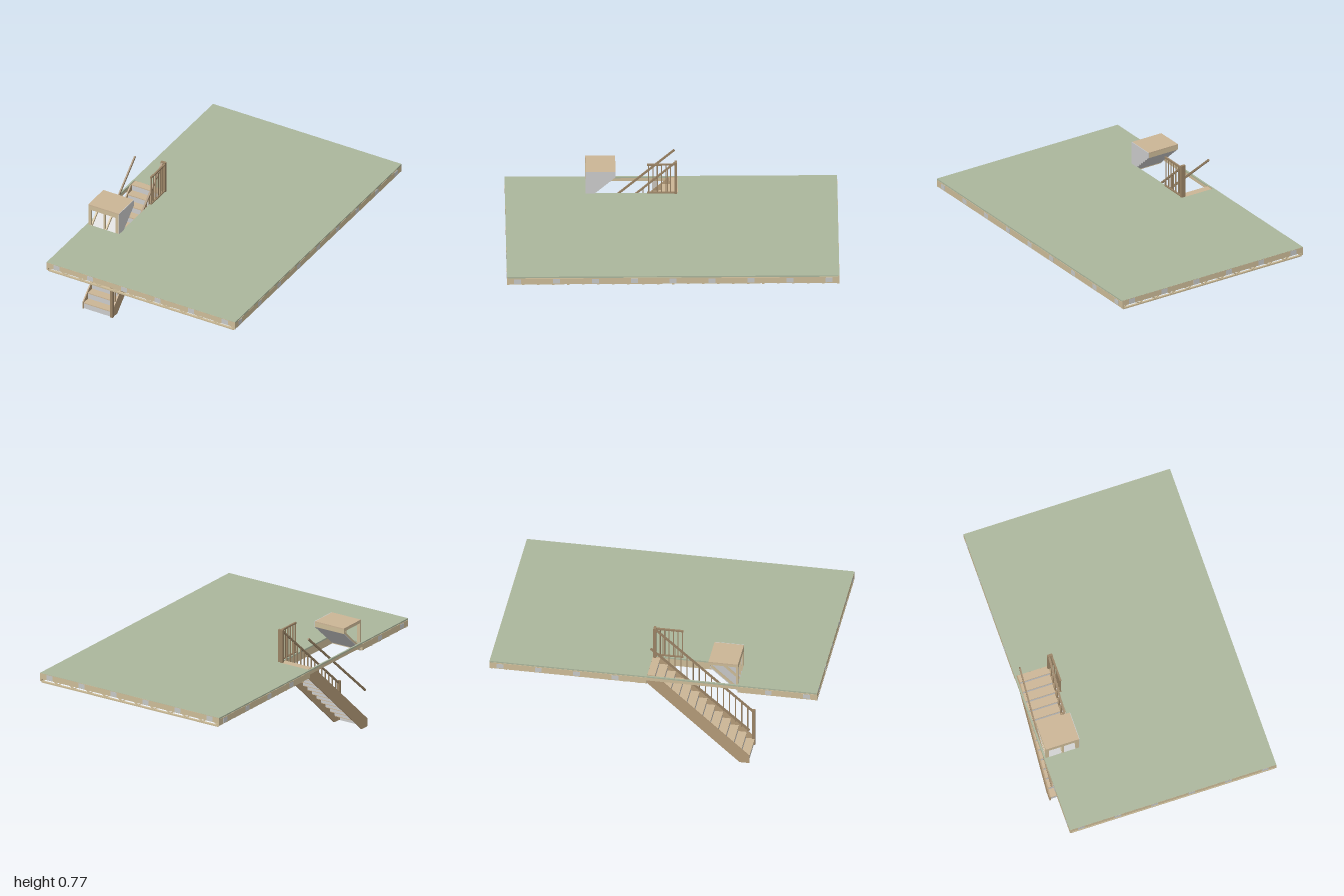
import * as THREE from 'three';
import { mergeGeometries } from 'three/addons/utils/BufferGeometryUtils.js';

const mat = (name, color) => Object.assign(new THREE.MeshStandardMaterial({ color }), { name });

// box given by its limits
function box(x0, x1, y0, y1, z0, z1) {
  return new THREE.BoxGeometry(x1 - x0, y1 - y0, z1 - z0)
    .translate((x0 + x1) / 2, (y0 + y1) / 2, (z0 + z1) / 2);
}

// bar sloping in the z-y plane
function slopeBar(x, [z0, y0], [z1, y1], width, thick) {
  const len = Math.hypot(z1 - z0, y1 - y0);
  return new THREE.BoxGeometry(width, thick, len)
    .rotateX(-Math.atan2(y1 - y0, z1 - z0))
    .translate(x, (y0 + y1) / 2, (z0 + z1) / 2);
}

// bar sloping in the x-y plane
function webBar(z, x0, y0, x1, y1) {
  return new THREE.BoxGeometry(Math.hypot(x1 - x0, y1 - y0), 0.006, 0.008)
    .rotateZ(Math.atan2(y1 - y0, x1 - x0))
    .translate((x0 + x1) / 2, (y0 + y1) / 2, z);
}

// outline of (z, y) points, extruded from x0 to x1
function prism(points, x0, x1) {
  const shape = new THREE.Shape(points.map(([z, y]) => new THREE.Vector2(z, y)));
  return new THREE.ExtrudeGeometry(shape, { depth: x1 - x0, bevelEnabled: false })
    .rotateY(-Math.PI / 2).translate(x1, 0, 0);
}

export function createModel() {
  const green = mat('deck green', 0xabb69c);
  const timber = mat('pale timber', 0xcdbc98);
  const tread = mat('tread tan', 0xcbb595);
  const wood = mat('stair wood', 0xb39a78);
  const rail = mat('rail brown', 0x9a8365);
  const grey = mat('board grey', 0xcbcbcb);
  const steel = mat('plate grey', 0xc6c8c6);

  const root = new THREE.Group();
  const add = (name, material, geos) => {
    const mesh = new THREE.Mesh(geos.length > 1 ? mergeGeometries(geos) : geos[0], material);
    mesh.name = name;
    root.add(mesh);
  };

  const X = 0.655, TOP = 0.566;
  const hole = { x0: -0.645, x1: -0.435, z0: -0.04, z1: 0.515 };

  // floor sheathing around the stair opening
  add('floorSheathing', green, [
    box(-X, X, 0.557, TOP, -1, hole.z0),
    box(-X, X, 0.557, TOP, hole.z1, 1),
    box(hole.x1, X, 0.557, TOP, hole.z0, hole.z1),
    box(-X, hole.x0, 0.557, TOP, hole.z0, hole.z1),
  ]);

  // open-web floor trusses running across
  const chords = [], webs = [];
  const count = 23;
  for (let i = 0; i < count; i++) {
    const z = -0.992 + (1.984 * i) / (count - 1);
    const start = z > hole.z0 - 0.01 && z < hole.z1 + 0.01 ? hole.x1 + 0.005 : -0.645;
    chords.push(box(start, 0.645, 0.547, 0.557, z - 0.007, z + 0.007));
    chords.push(box(start, 0.645, 0.506, 0.515, z - 0.007, z + 0.007));
    const n = Math.round((0.645 - start) / 0.0586), step = (0.645 - start) / n;
    for (let k = 0; k < n; k++) {
      const up = k % 2 === 0;
      webs.push(webBar(z, start + k * step, up ? 0.514 : 0.549, start + (k + 1) * step, up ? 0.549 : 0.514));
    }
  }
  add('trussChords', timber, chords);
  add('trussWebs', timber, webs);

  // rim boards and opening trimmers
  const rims = [];
  for (const s of [-1, 1]) {
    const e = s * 0.9965;
    rims.push(box(-X, X, 0.53, 0.5655, e - 0.004, e + 0.004));
    for (const t of [-1, 1]) {
      const c = t * 0.649;
      rims.push(box(c - 0.006, c + 0.006, 0.513, 0.557, e - 0.0035, e + 0.0035));
    }
  }
  rims.push(box(0.645, X, 0.515, 0.555, -0.995, 0.995));
  rims.push(box(-X, -0.645, 0.515, 0.555, -0.995, hole.z0));
  rims.push(box(-X, -0.645, 0.515, 0.555, hole.z1, 0.995));
  rims.push(box(-X, -0.645, 0.537, 0.557, hole.z0, hole.z1));
  rims.push(box(hole.x1, hole.x1 + 0.01, 0.51, 0.557, hole.z0, hole.z1));
  rims.push(box(hole.x0, hole.x1, 0.51, 0.557, hole.z0 - 0.01, hole.z0));
  rims.push(box(hole.x0, hole.x1, 0.51, 0.557, hole.z1, hole.z1 + 0.01));
  add('rimBoards', timber, rims);

  // connector plates on the rims
  const plates = [];
  for (let k = -2.5; k <= 2.5; k++)
    for (const s of [-1, 1])
      plates.push(box(k * 0.234 - 0.021, k * 0.234 + 0.021, 0.532, 0.563, s * 1.0 - 0.001, s * 1.0 + 0.001));
  for (let k = -4; k <= 4; k++) {
    const z = k * 0.234;
    plates.push(box(X - 0.001, X + 0.001, 0.52, 0.55, z - 0.021, z + 0.021));
    if (z < hole.z0 - 0.03 || z > hole.z1 + 0.03)
      plates.push(box(-X - 0.001, -X + 0.001, 0.52, 0.55, z - 0.021, z + 0.021));
  }
  add('connectorPlates', steel, plates);

  // blocking rows and the long strap under the floor
  const blocks = [box(-0.04, -0.015, 0.503, 0.509, -0.92, -0.32)];
  const row = (xa, xb, za, zb) => {
    for (let x = xa; x <= xb; x += 0.06) blocks.push(box(x - 0.007, x + 0.007, 0.505, 0.514, za, zb));
  };
  row(-0.05, 0.62, 0.09, 0.18);
  row(-0.5, -0.14, -0.27, -0.18);
  row(-0.6, -0.42, 0.72, 0.81);
  add('floorBlocking', timber, blocks);

  // stairs: 13 risers
  const rise = 0.0435, run = 0.048, zFront = 0.578;
  const treads = [], risers = [];
  for (let i = 0; i < 13; i++) {
    const z = zFront - i * run;
    risers.push(box(-0.637, -0.445, i * rise, (i + 1) * rise - 0.006, z - 0.006, z));
    treads.push(box(-0.637, -0.445, (i + 1) * rise - 0.006, (i + 1) * rise, z - run - 0.002, z + 0.005));
  }
  add('treads', tread, treads);
  add('risers', grey, risers);
  const side = [[0.585, 0], [0.585, 0.05], [0.017, 0.563], [-0.04, 0.563], [-0.04, 0.512], [0.525, 0]];
  add('stringers', wood, [prism(side, -0.645, -0.637), prism(side, -0.446, -0.437)]);

  // stair railing with balusters on the inner side
  const railY = z => 0.237 + (0.575 - z) * 0.884;
  const nosing = z => 0.045 + (0.585 - z) * 0.903;
  const stairRail = [
    slopeBar(-0.443, [0.575, railY(0.575)], [-0.025, railY(-0.025)], 0.012, 0.01),
    box(-0.452, -0.435, 0, 0.252, 0.568, 0.586),
    box(-0.452, -0.435, 0.5, 0.775, -0.036, -0.02),
  ];
  for (let z = 0.54; z > 0; z -= 0.037)
    stairRail.push(box(-0.446, -0.44, Math.min(nosing(z), 0.56), railY(z), z - 0.003, z + 0.003));
  add('stairRailing', rail, stairRail);

  // level guard beside the stair head
  const guard = [
    box(-0.431, -0.42, 0.757, 0.767, -0.03, 0.145),
    box(-0.431, -0.42, 0.57, 0.577, -0.03, 0.145),
    box(-0.435, -0.42, TOP, 0.775, -0.036, -0.02),
  ];
  for (let z = 0.138; z > -0.015; z -= 0.027)
    guard.push(box(-0.429, -0.423, 0.57, 0.76, z - 0.003, z + 0.003));
  add('landingGuard', rail, guard);

  // plain handrail on the outer side
  add('handrail', rail, [slopeBar(-0.63, [0.583, 0.23], [-0.02, 0.755], 0.009, 0.012)]);

  // headroom box over the stairs
  add('headroomTop', tread, [box(-0.645, -0.433, 0.703, 0.711, 0.335, 0.515)]);
  add('headroomSide', grey, [prism(
    [[0.515, TOP], [0.515, 0.711], [0.335, 0.711], [0.335, 0.675], [0.46, TOP]], -0.434, -0.43)]);
  add('headroomSlope', grey, [slopeBar(-0.539, [0.337, 0.677], [0.515, 0.517], 0.206, 0.004)]);
  const frame = [
    box(-0.645, -0.434, 0.675, 0.703, 0.503, 0.515),
    box(-0.645, -0.434, 0.675, 0.703, 0.335, 0.345),
    box(-0.645, -0.625, 0.69, 0.703, 0.345, 0.503),
  ];
  for (const [x, w] of [[-0.635, 0.02], [-0.535, 0.01], [-0.445, 0.022]]) {
    frame.push(box(x - w / 2, x + w / 2, TOP, 0.676, 0.503, 0.515));
    frame.push(slopeBar(x, [0.35, 0.677], [0.513, 0.53], 0.01, 0.012));
  }
  add('headroomFrame', timber, frame);

  return root;
}
